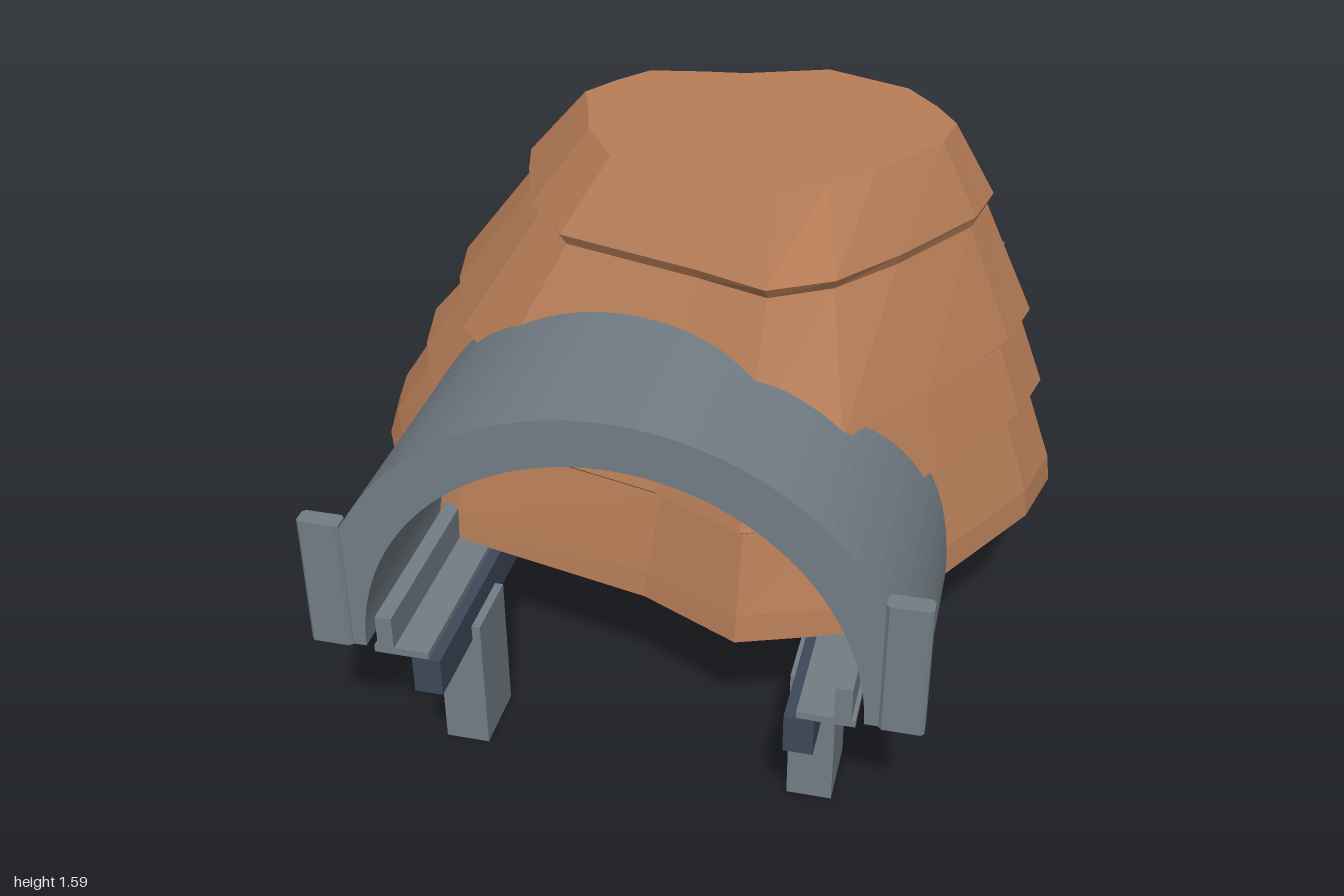
import * as THREE from 'three';

const mat = (name, color) => {
  const m = new THREE.MeshStandardMaterial({ color, flatShading: true });
  m.name = name;
  return m;
};

// Plan outlines of the rock: [top x, top z, bottom x, bottom z]
const OUTLINE = [
  [-0.33, -0.10, -1.00, -0.20], [-0.27, -0.20, -0.92, -0.42], [-0.20, -0.29, -0.70, -0.60],
  [-0.06, -0.315, -0.45, -0.58], [0.06, -0.33, -0.05, -0.57], [0.28, -0.41, 0.28, -0.73],
  [0.51, -0.32, 0.62, -0.61], [0.60, -0.21, 0.88, -0.38], [0.66, -0.11, 1.00, -0.20],
  [0.64, 0.02, 0.95, 0.00], [0.50, 0.235, 0.76, 0.32], [0.40, 0.33, 0.55, 0.63],
  [0.30, 0.41, 0.27, 0.73], [0.15, 0.38, 0.00, 0.60], [-0.15, 0.29, -0.60, 0.46],
  [-0.25, 0.14, -0.80, 0.29], [-0.30, -0.02, -0.95, 0.00],
];

// Terraces, top to bottom: [y, left spread, right spread, depth spread]
const LEVELS = [
  [1.59, 0, 0, 0], [1.39, 0.26, 0.32, 0.375], [1.36, 0.225, 0.28, 0.31],
  [1.035, 0.6, 0.69, 0.85], [1.015, 0.52, 0.62, 0.76], [0.81, 0.78, 0.84, 0.95],
  [0.79, 0.73, 0.735, 0.86], [0.56, 0.955, 0.97, 0.98], [0.48, 1, 1, 1],
];

function rockGeometry() {
  const n = OUTLINE.length;
  const lerp = THREE.MathUtils.lerp;
  const pos = [];
  const idx = [];
  for (const [y, l, r, d] of LEVELS) {
    for (const [tx, tz, bx, bz] of OUTLINE) {
      const f = lerp(l, r, (bx + 1) / 2);
      pos.push(lerp(tx, bx, f), y, lerp(tz, bz, d));
    }
  }
  for (let i = 0; i < LEVELS.length - 1; i++) {
    for (let j = 0; j < n; j++) {
      const k = (j + 1) % n;
      const a = i * n + j, b = i * n + k, c = a + n, e = b + n;
      idx.push(c, a, e, a, b, e);
    }
  }
  // Flat caps
  const top = pos.length / 3;
  pos.push(0.18, 1.59, 0, 0, 0.48, 0);
  const base = (LEVELS.length - 1) * n;
  for (let j = 0; j < n; j++) {
    const k = (j + 1) % n;
    idx.push(top, k, j, top + 1, base + j, base + k);
  }
  const g = new THREE.BufferGeometry();
  g.setAttribute('position', new THREE.Float32BufferAttribute(pos, 3));
  g.setIndex(idx);
  const flat = g.toNonIndexed();
  flat.computeVertexNormals();
  return flat;
}

export function createModel() {
  const rock = mat('clay brown', 0xb87e58);
  const grey = mat('slate grey', 0x727d85);
  const navy = mat('dark navy', 0x3d4859);
  const model = new THREE.Group();
  model.name = 'mountainTunnel';

  const add = (name, geo, material, x = 0, y = 0, z = 0) => {
    const m = new THREE.Mesh(geo, material);
    m.name = name;
    m.position.set(x, y, z);
    model.add(m);
  };
  // Box given by its limits
  const box = (name, material, x0, x1, y0, y1, z0, z1) =>
    add(name, new THREE.BoxGeometry(x1 - x0, y1 - y0, z1 - z0), material,
      (x0 + x1) / 2, (y0 + y1) / 2, (z0 + z1) / 2);

  add('mountain', rockGeometry(), rock);

  // Half-round tunnel shell
  const arch = new THREE.Shape();
  arch.absarc(0, 0, 0.76, 0, Math.PI, false);
  arch.absarc(0, 0, 0.635, Math.PI, 0, true);
  add('tunnelShell', new THREE.ExtrudeGeometry(arch, { depth: 1.91, bevelEnabled: false, curveSegments: 28 }),
    grey, 0, 0.48, -0.955);

  // Portal post with chamfered corners
  const w = 0.055, d = 0.025, c = 0.008;
  const plan = new THREE.Shape([
    [-w + c, -d], [w - c, -d], [w, -d + c], [w, d - c],
    [w - c, d], [-w + c, d], [-w, d - c], [-w, -d + c],
  ].map(([x, y]) => new THREE.Vector2(x, y)));
  const post = new THREE.ExtrudeGeometry(plan, { depth: 0.37, bevelEnabled: false });
  post.rotateX(-Math.PI / 2);

  for (const s of [-1, 1]) {
    const side = (name, material, a, b, ...rest) =>
      box(name, material, Math.min(s * a, s * b), Math.max(s * a, s * b), ...rest);
    // Beam, ledge and guide running the length of the tunnel
    side('beam', navy, 0.44, 0.515, 0.355, 0.464, -0.955, 0.955);
    side('ledge', grey, 0.47, 0.615, 0.463, 0.483, -0.953, 0.953);
    side('guide', grey, 0.562, 0.605, 0.48, 0.575, -0.953, 0.953);
    for (const e of [-1, 1]) {
      add('portalPost', post, grey, s * 0.725, 0.48, e * 0.94);
      side('leg', grey, 0.417, 0.537, 0, 0.4, e * 0.635 - 0.096, e * 0.635 + 0.096);
    }
  }
  return model;
}
